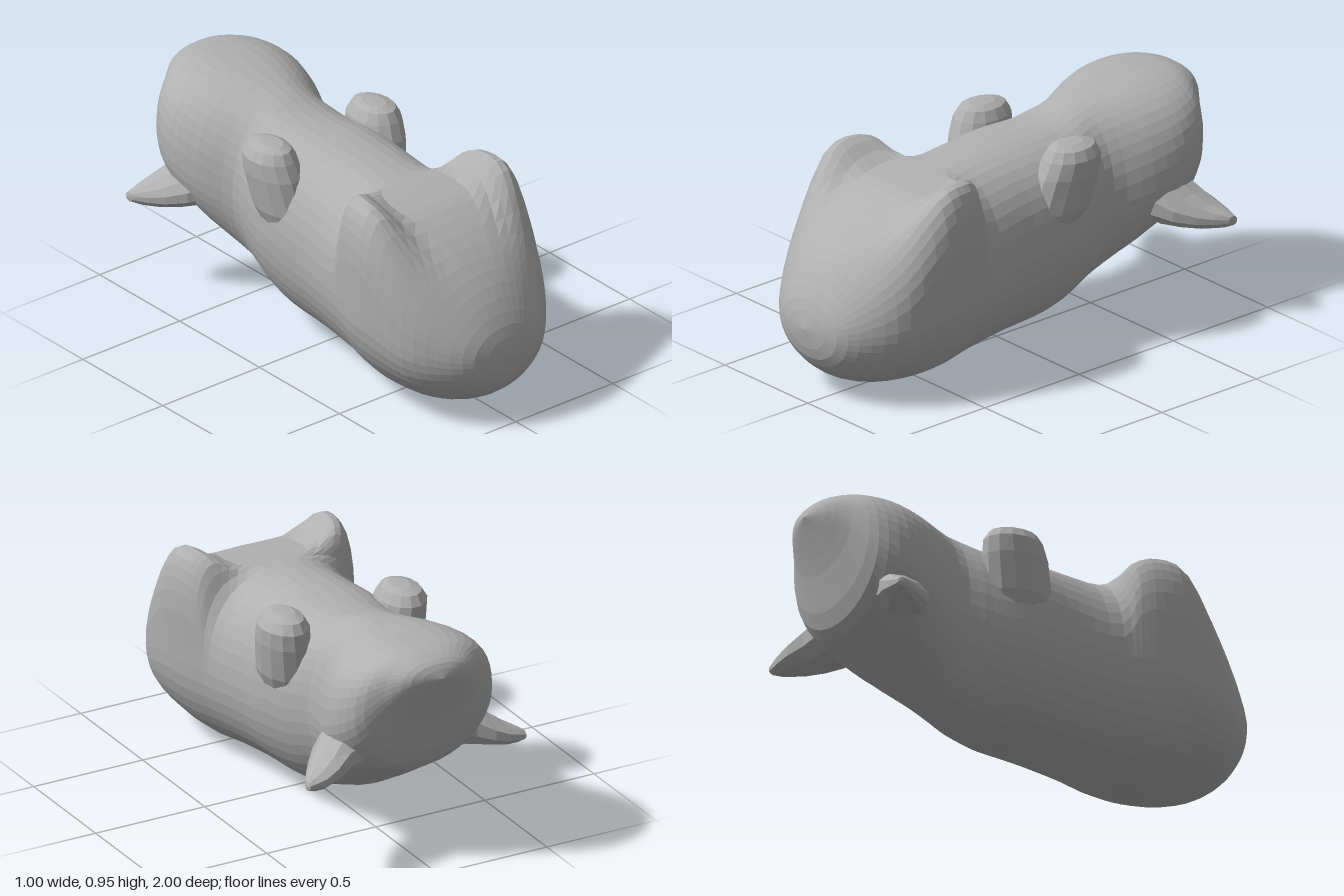
import * as THREE from 'three';

const CX = -0.025; // body axis

// Skin a list of rings into a faceted surface
function loft(rings) {
  const n = rings[0].length;
  const index = [];
  for (let i = 0; i < rings.length - 1; i++) {
    for (let j = 0; j < n; j++) {
      const k = (j + 1) % n;
      const a = i * n + j, b = i * n + k, c = a + n, d = b + n;
      index.push(a, c, b, b, c, d);
    }
  }
  const indexed = new THREE.BufferGeometry().setFromPoints(rings.flat());
  indexed.setIndex(index);
  const geometry = indexed.toNonIndexed();
  geometry.computeVertexNormals();
  return geometry;
}

// Closed ring of points from a rule of the angle
function ring(sides, point) {
  return Array.from({ length: sides }, (_, j) => {
    const a = (j / sides) * Math.PI * 2;
    return point(Math.cos(a), Math.sin(a));
  });
}

// z, half width, bottom, top, widest height, squareness of upper half, hind leg bump
const SECTIONS = [
  [1.0, 0, 0.31, 0.31, 0.31, 2, 0],
  [0.97, 0.165, 0.18, 0.43, 0.31, 2, 0],
  [0.88, 0.28, 0.085, 0.575, 0.33, 2.1, 0],
  [0.75, 0.365, 0.03, 0.695, 0.36, 2.7, 0.04],
  [0.58, 0.395, 0, 0.79, 0.42, 3.8, 0.145],
  [0.45, 0.382, 0, 0.815, 0.42, 4.4, 0.14],
  [0.36, 0.36, 0.01, 0.825, 0.42, 4, 0.1],
  [0.29, 0.345, 0.02, 0.83, 0.42, 2.4, 0],
  [0.1, 0.328, 0.04, 0.845, 0.44, 2.3, 0],
  [-0.04, 0.33, 0.05, 0.85, 0.46, 2.4, 0],
  [-0.13, 0.325, 0.055, 0.85, 0.48, 2.4, 0],
  [-0.24, 0.305, 0.08, 0.855, 0.48, 2.3, 0],
  [-0.32, 0.285, 0.11, 0.87, 0.5, 2.3, 0],
  [-0.42, 0.268, 0.15, 0.9, 0.52, 2.2, 0],
  [-0.58, 0.33, 0.24, 0.93, 0.56, 2.4, 0],
  [-0.72, 0.355, 0.33, 0.945, 0.61, 2.5, 0],
  [-0.84, 0.315, 0.42, 0.945, 0.68, 2.5, 0],
  [-0.91, 0.22, 0.63, 0.935, 0.78, 2.4, 0],
  [-0.97, 0.13, 0.785, 0.905, 0.84, 2.3, 0],
  [-1.0, 0, 0.85, 0.85, 0.85, 2, 0],
];

// Smooth interpolation between neighbouring sections
function sectionAt(t) {
  const last = SECTIONS.length - 1;
  const i = Math.min(Math.floor(t), last - 1), f = t - i;
  const row = (k) => SECTIONS[Math.max(0, Math.min(last, k))];
  return SECTIONS[0].map((_, c) => {
    const p0 = row(i - 1)[c], p1 = row(i)[c], p2 = row(i + 1)[c], p3 = row(i + 2)[c];
    return p1 + 0.5 * f * (p2 - p0 + f * (2 * p0 - 5 * p1 + 4 * p2 - p3 + f * (3 * (p1 - p2) + p3 - p0)));
  });
}

// Body, stubby hind legs, head and snout as one continuous skin
function bodyGeometry() {
  const rings = [], steps = 57;
  for (let i = 0; i <= steps; i++) {
    const [z, w, bottom, top, mid, n, bump] = sectionAt((i / steps) * (SECTIONS.length - 1));
    rings.push(ring(44, (c, s) => {
      const power = s > 0 ? 2 / n : 1;
      const u = Math.sign(c) * Math.abs(c) ** power;
      const v = Math.sign(s) * Math.abs(s) ** power;
      // hind legs rise toward the outer edges and flare slightly outward
      const rise = bump * Math.max(v, 0);
      const y = mid + v * (v > 0 ? top - mid : mid - bottom)
        + rise * THREE.MathUtils.smoothstep(Math.abs(u), 0.4, 0.88);
      return new THREE.Vector3(CX + u * (w + 0.18 * rise), y, z);
    }));
  }
  return loft(rings);
}

// Short front leg; side is +1 for left, -1 for right
function frontLegGeometry(side) {
  // height, distance from axis, z, half width, half depth
  const path = [
    [0.42, 0.17, -0.1, 0.1, 0.13],
    [0.6, 0.235, -0.14, 0.11, 0.15],
    [0.75, 0.262, -0.17, 0.105, 0.145],
    [0.82, 0.27, -0.185, 0.098, 0.13],
    [0.86, 0.27, -0.185, 0.075, 0.105],
    [0.875, 0.265, -0.18, 0.04, 0.06],
    [0.877, 0.265, -0.18, 0, 0],
  ];
  return loft(path.map(([y, x, z, w, d]) =>
    ring(14, (c, s) => new THREE.Vector3(CX + side * x + w * c, y, z + d * s))));
}

// Flattened pointed ear; side is +1 for left, -1 for right
function earGeometry(side) {
  // distance out, y, z, half height, half depth
  const path = [
    [0.14, 0.52, -0.66, 0.11, 0.13],
    [0.29, 0.485, -0.69, 0.1, 0.125],
    [0.36, 0.455, -0.73, 0.07, 0.115],
    [0.42, 0.435, -0.77, 0.05, 0.085],
    [0.465, 0.427, -0.8, 0.035, 0.05],
    [0.495, 0.425, -0.822, 0.02, 0.022],
    [0.5, 0.425, -0.83, 0, 0],
  ];
  return loft(path.map(([x, y, z, h, d]) =>
    ring(10, (c, s) => new THREE.Vector3(side * x, y + h * c, z - side * d * s))));
}

export function createModel() {
  const group = new THREE.Group();
  const grey = new THREE.MeshStandardMaterial({ color: 0xb0b0b0 });
  grey.name = 'grey';
  const add = (name, geometry) => {
    const mesh = new THREE.Mesh(geometry, grey);
    mesh.name = name;
    group.add(mesh);
  };
  add('body', bodyGeometry());
  for (const [label, side] of [['left', 1], ['right', -1]]) {
    add(`${label}FrontLeg`, frontLegGeometry(side));
    add(`${label}Ear`, earGeometry(side));
  }
  return group;
}
